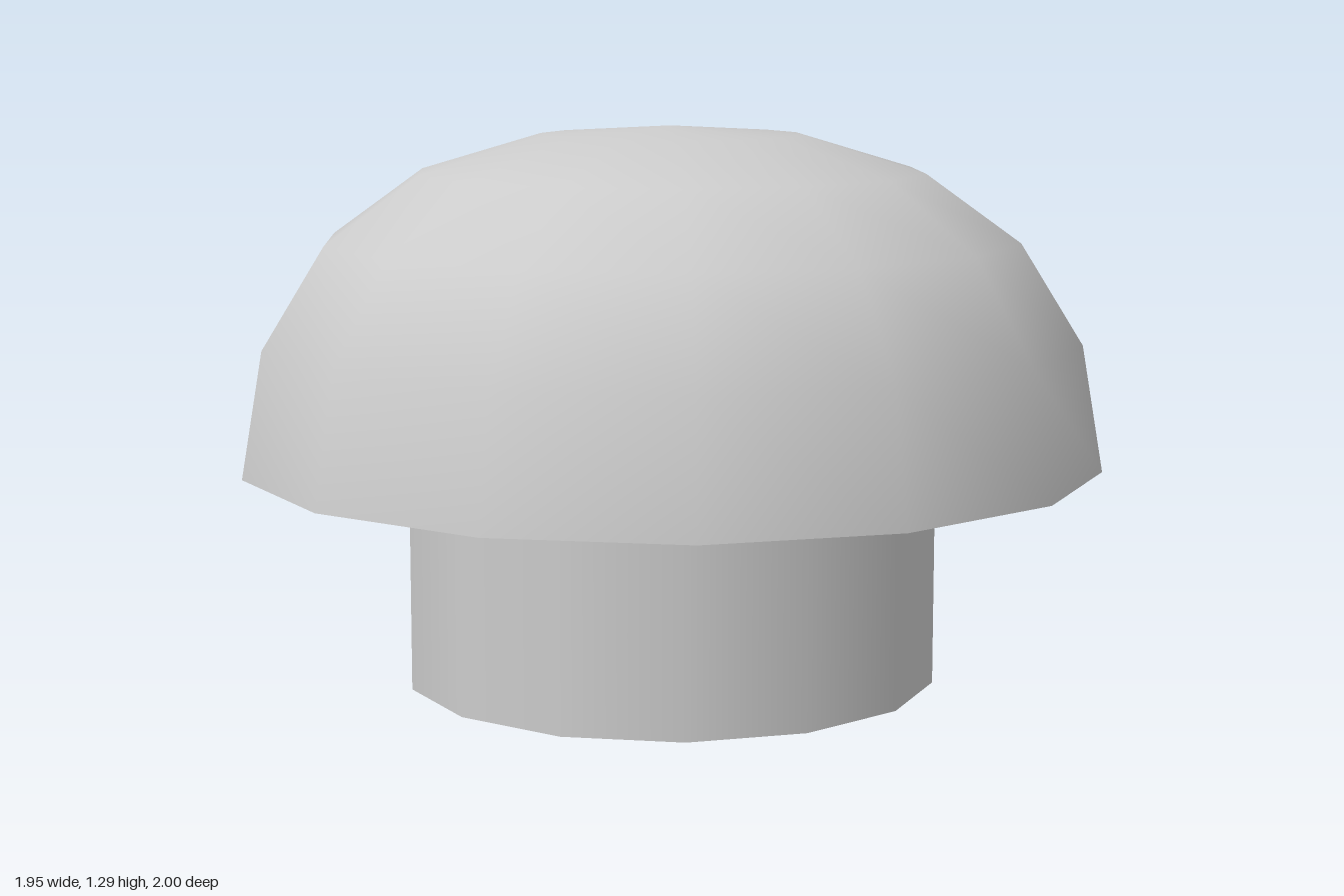
import * as THREE from 'three';

const SIDES = 14;

// Revolves a profile of [radius, height] points, listed from bottom to top
function revolve(name, profile) {
  const points = profile.map(([r, y]) => new THREE.Vector2(r, y));
  const material = new THREE.MeshStandardMaterial({ color: 0xcccccc, side: THREE.DoubleSide });
  const mesh = new THREE.Mesh(new THREE.LatheGeometry(points, SIDES), material);
  mesh.name = name;
  return mesh;
}

export function createModel() {
  const group = new THREE.Group();
  group.name = 'mushroom';

  // Hollow stem, open at the bottom and into the cap
  group.add(revolve('stem', [[0.62, 0], [0.62, 0.49]]));

  // Shallow sloping ring between stem and cap rim
  group.add(revolve('capUnderside', [[0.62, 0.49], [1, 0.51]]));

  // Domed cap shell
  group.add(revolve('cap', [
    [1, 0.51], [0.95, 0.8], [0.807, 1.03], [0.59, 1.185], [0.305, 1.27], [0, 1.29],
  ]));

  return group;
}
